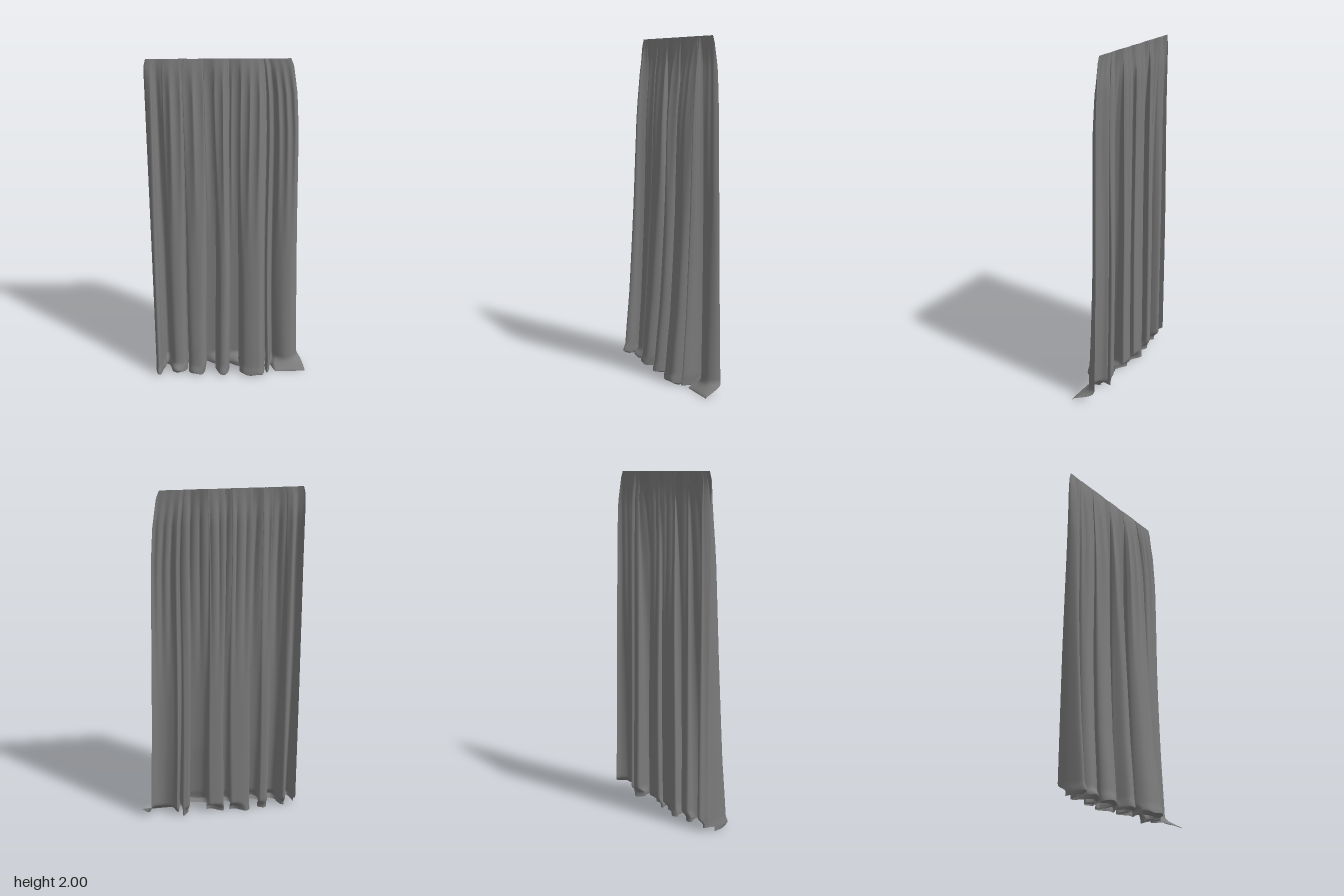
import * as THREE from 'three';

// Pleat path across the cloth near the floor: [x, z], left edge to right edge
const PLEATS = [
  [-.475, -.09], [-.472, -.02], [-.462, .05], [-.45, .068], [-.435, .045], [-.43, 0], [-.415, -.05], [-.41, -.09],
  [-.39, -.09], [-.378, -.05], [-.37, 0], [-.34, .03], [-.29, .02], [-.268, -.03], [-.295, -.08], [-.27, -.095],
  [-.24, -.09], [-.25, -.04], [-.26, .02], [-.23, .055], [-.17, .055], [-.145, 0], [-.155, -.06],
  [-.175, -.085], [-.12, -.095], [-.06, -.09], [-.09, -.04], [-.085, 0], [-.065, .06], [-.03, .067],
  [-.01, .03], [-.005, -.04], [-.02, -.085], [.02, -.095], [.07, -.09], [.052, -.04], [.05, .02],
  [.08, .072], [.14, .09], [.195, .08], [.217, .02], [.21, -.03], [.19, -.07], [.195, -.093], [.235, -.093],
  [.225, -.04], [.227, .02], [.238, .045], [.25, .01], [.257, -.05], [.27, -.09], [.29, -.055],
  [.34, -.025], [.39, -.03], [.42, -.06], [.43, -.093],
];
// Height, pleat depth (share of full) and x of the right-hand edge
const HANG = [
  [0, 1, .43], [.05, 1, .43], [.2, .92, .425], [.4, .8, .418], [.6, .72, .412], [1, .57, .402],
  [1.5, .41, .393], [1.6, .36, .39], [1.8, .24, .377], [1.9, .15, .362], [1.97, .06, .35], [2, .02, .335],
];
const ROWS = 80, TUCK = 4, COLS = 400;

const smooth = (a, b, v) => THREE.MathUtils.smoothstep(v, a, b);

function hangAt(y, column) {
  let i = 1;
  while (i < HANG.length - 1 && HANG[i][0] < y) i++;
  const a = HANG[i - 1], b = HANG[i];
  return THREE.MathUtils.lerp(a[column], b[column], (y - a[0]) / (b[0] - a[0]));
}

// Position of one point of the cloth; tuck runs 0..1 where the hem curls under
function drape(p, height, tuck) {
  const depth = hangAt(height, 1);
  const middle = Math.max(0, Math.sin(Math.PI * (p.x + .475) / .905));
  let x = p.x + (hangAt(height, 2) - .43) * smooth(.05, .43, p.x);
  x += .005 * middle * Math.sin(3 * height + 11 * p.x);
  x += .012 * smooth(1.95, 2, height) * (1 - smooth(-.475, 0, p.x));

  const back = -.095 + .01 * smooth(1.8, 2, height);
  const front = THREE.MathUtils.clamp((p.y + .095) / .185, 0, 1);
  let z = back + front * .185 * depth;

  // Fine gathers below the heading
  const gather = smooth(.7, 1.7, height) * Math.min(1, (2 - height) / .2);
  const wave = 112 * p.x + 1.5 * Math.sin(14 * p.x);
  x += .006 * gather * middle * Math.cos(wave);
  z += .007 * gather * (1 + Math.sin(wave));

  // Hem spreading on the floor, the right-hand end drawn forward as a flap
  const spread = 1 - smooth(0, .07, height);
  const flap = smooth(.245, .29, p.x);
  const end = smooth(.3, .43, p.x);
  const ripple = Math.sin(31 * p.x) * Math.sin(17 * p.x + 1);
  x += spread * (.045 * end + .01 * ripple * middle);
  z += spread * ((1 - flap) * (.008 * front + .035 * (1 - front) * (1 + ripple)));
  z += spread * spread * flap * (.032 - z);
  const lift = .012 * (1 + ripple) * (1 - flap);
  let y = height + lift * spread;

  // Rolled lower edge
  y = Math.max(0, y - lift * tuck);
  z -= .03 * tuck * front * (1 - flap);
  return [x, y, Math.min(z, .1)];
}

function curtainGeometry() {
  const path = new THREE.SplineCurve(PLEATS.map(([x, z]) => new THREE.Vector2(x, z)));
  path.arcLengthDivisions = 1000;
  const points = path.getSpacedPoints(COLS);
  const positions = [], indices = [];
  for (let r = 0; r <= ROWS + TUCK; r++) {
    const height = 2 * Math.pow(Math.max(0, 1 - r / ROWS), 1.6);
    const tuck = Math.max(0, r - ROWS) / TUCK;
    for (const p of points) positions.push(...drape(p, height, tuck));
  }
  const n = COLS + 1;
  for (let r = 0; r < ROWS + TUCK; r++) {
    for (let c = 0; c < COLS; c++) {
      const a = r * n + c, b = a + n;
      indices.push(a, b, a + 1, b, b + 1, a + 1);
    }
  }
  const geometry = new THREE.BufferGeometry();
  geometry.setAttribute('position', new THREE.Float32BufferAttribute(positions, 3));
  geometry.setIndex(indices);
  geometry.computeVertexNormals();
  return geometry;
}

export function createModel() {
  const group = new THREE.Group();
  group.name = 'curtain';
  const fabric = new THREE.MeshStandardMaterial({ color: 0x7b7b7b, side: THREE.DoubleSide });
  const cloth = new THREE.Mesh(curtainGeometry(), fabric);
  cloth.name = 'curtainCloth';
  group.add(cloth);
  return group;
}
